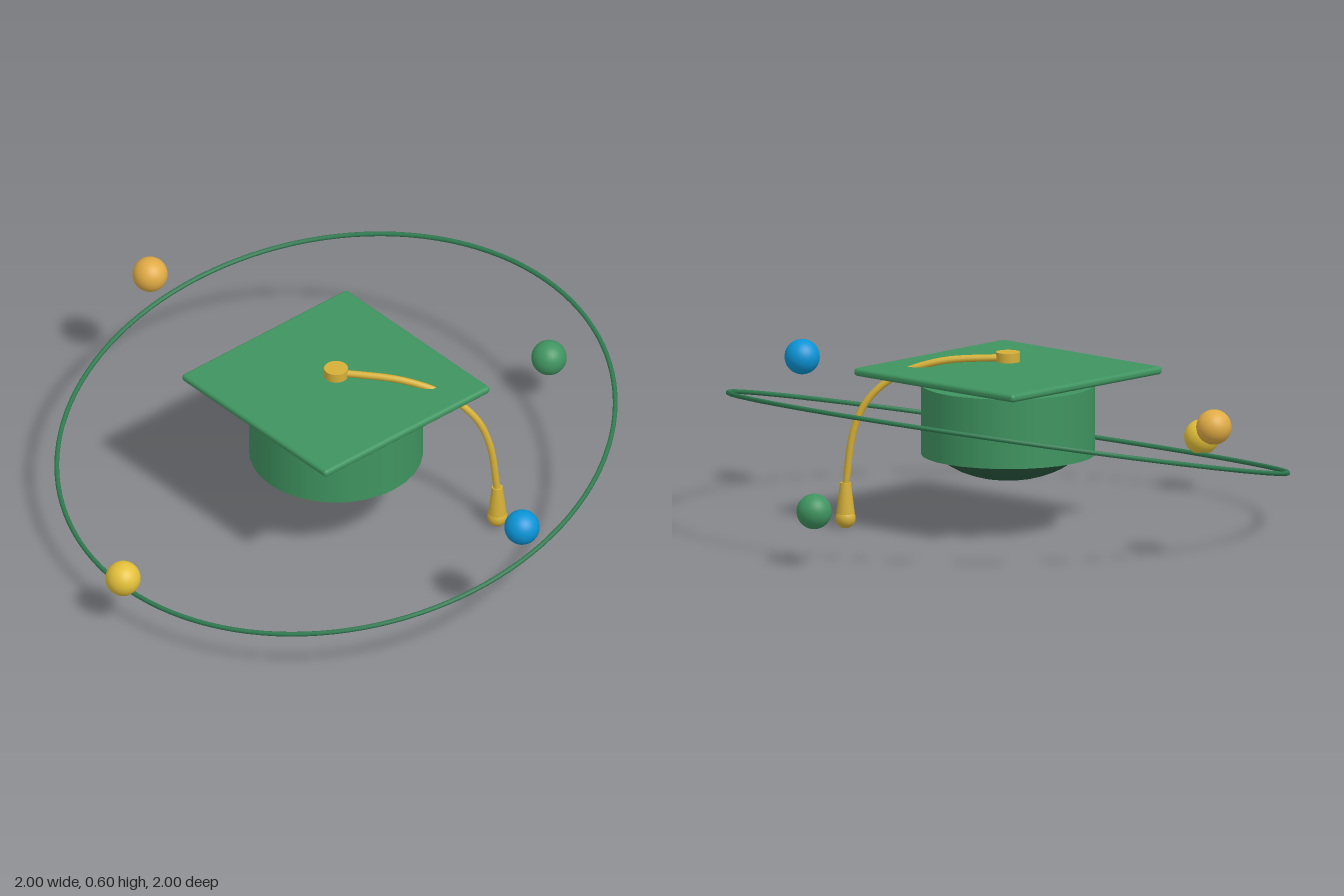
import * as THREE from 'three';
import { RoundedBoxGeometry } from 'three/addons/geometries/RoundedBoxGeometry.js';

const mat = (color) => new THREE.MeshStandardMaterial({ color });

export function createModel() {
  const model = new THREE.Group();
  const green = mat(0x3f9460), ringGreen = mat(0x2f7a50), darkGreen = mat(0x2a5a40);
  const gold = mat(0xd4af37), yellow = mat(0xe3c03a), amber = mat(0xe0ab45), blue = mat(0x0a94d6);

  const add = (name, geometry, material, x = 0, y = 0, z = 0, parent = model) => {
    const mesh = new THREE.Mesh(geometry, material);
    mesh.name = name;
    mesh.position.set(x, y, z);
    parent.add(mesh);
    return mesh;
  };

  // Cap: band, rounded lining inside it, square board and button
  const cap = new THREE.Group();
  cap.name = 'cap';
  model.add(cap);
  add('capBand', new THREE.CylinderGeometry(0.29, 0.29, 0.235, 32), green, 0, 0.3725, 0, cap);
  add('capLining', new THREE.SphereGeometry(1, 32, 24), darkGreen, 0, 0.333, 0, cap)
    .scale.set(0.275, 0.163, 0.275);
  add('board', new RoundedBoxGeometry(0.73, 0.027, 0.73, 3, 0.012), green, 0, 0.533, 0, cap);
  add('button', new THREE.CylinderGeometry(0.04, 0.04, 0.032, 24), gold, 0, 0.582, 0, cap);

  // Cord running diagonally over the board and hanging off its corner
  const tassel = new THREE.Group();
  tassel.name = 'tassel';
  model.add(tassel);
  const path = new THREE.CatmullRomCurve3([
    [0, 0.58, 0], [0.17, 0.565, -0.153], [0.28, 0.513, -0.252],
    [0.35, 0.428, -0.315], [0.382, 0.325, -0.345], [0.402, 0.14, -0.361],
  ].map((p) => new THREE.Vector3(...p)));
  add('cord', new THREE.TubeGeometry(path, 48, 0.012, 10), gold, 0, 0, 0, tassel);
  add('tasselSkirt', new THREE.CylinderGeometry(0.018, 0.031, 0.105, 16), gold, 0.402, 0.102, -0.361, tassel);
  add('tasselEnd', new THREE.SphereGeometry(0.034, 20, 14), gold, 0.402, 0.034, -0.361, tassel);

  // Tilted orbit ring, low at the front
  add('orbitRing', new THREE.TorusGeometry(0.94, 0.008, 10, 120), ringGreen, 0, 0.325, 0)
    .rotation.x = Math.PI / 2 + 0.209;

  // Four balls around the ring
  const ball = new THREE.SphereGeometry(0.059, 28, 20);
  add('leftBall', ball, blue, 0.94, 0.463, 0);
  add('rightBall', ball, amber, -0.94, 0.463, 0);
  add('frontBall', ball, yellow, 0, 0.185, 0.94);
  add('backBall', ball, green, 0, 0.185, -0.94);

  return model;
}
